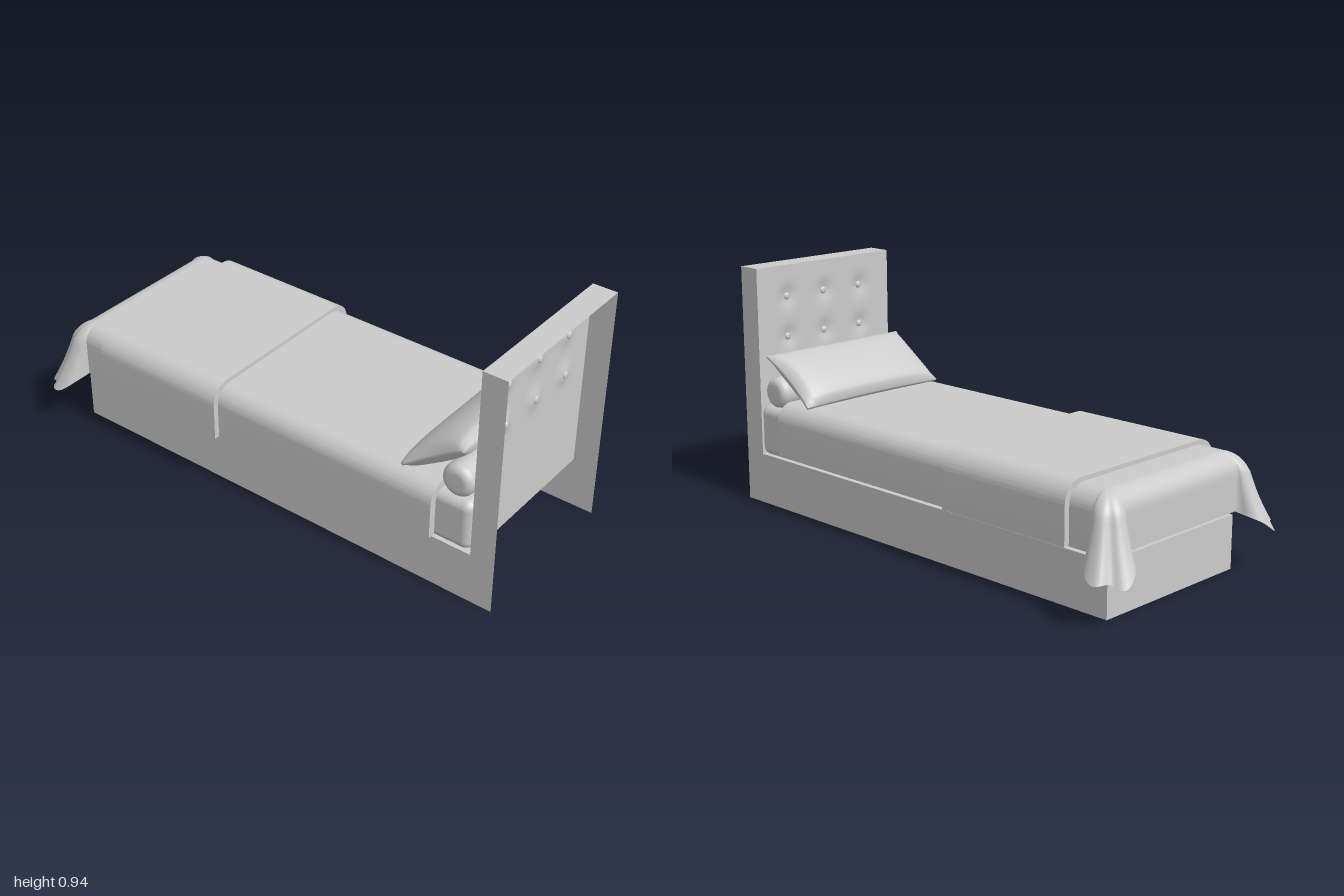
import * as THREE from 'three';
import { mergeVertices, toCreasedNormals } from 'three/addons/utils/BufferGeometryUtils.js';
import { RoundedBoxGeometry } from 'three/addons/geometries/RoundedBoxGeometry.js';

const material = new THREE.MeshStandardMaterial({ color: 0xcccccc, side: THREE.DoubleSide });

function add(parent, name, geometry, x = 0, y = 0, z = 0) {
  const mesh = new THREE.Mesh(geometry, material);
  mesh.name = name;
  mesh.position.set(x, y, z);
  parent.add(mesh);
  return mesh;
}

// Weld and smooth a geometry whose vertices were moved
function smooth(geometry) {
  geometry.deleteAttribute('normal');
  geometry.deleteAttribute('uv');
  const welded = mergeVertices(geometry, 1e-5);
  welded.computeVertexNormals();
  return welded;
}

// Cloth folded over the mattress: an arch section extruded along x
function drape(x0, x1, halfWidth, top, bottom, r, thick) {
  const s = new THREE.Shape();
  const w = halfWidth, v = w - thick, ri = r - thick;
  s.moveTo(-w, bottom);
  s.lineTo(-w, top - r);
  s.absarc(-w + r, top - r, r, Math.PI, Math.PI / 2, true);
  s.absarc(w - r, top - r, r, Math.PI / 2, 0, true);
  s.lineTo(w, bottom);
  s.lineTo(v, bottom);
  s.absarc(w - r, top - r, ri, 0, Math.PI / 2, false);
  s.absarc(-w + r, top - r, ri, Math.PI / 2, Math.PI, false);
  s.lineTo(-v, bottom);
  const g = new THREE.ExtrudeGeometry(s, { depth: x1 - x0, bevelEnabled: false, curveSegments: 10 });
  g.rotateY(Math.PI / 2).translate(x0, 0, 0);
  return toCreasedNormals(g, 0.6);
}

// Foot of the duvet: hangs over the end, with a flared fold at each corner
function duvetFoot(cx, cz, top, hem, r) {
  const fan = 28, rows = 18, rim = [];
  for (let i = 0; i <= fan; i++) rim.push([cz, Math.PI / 2 * (1 - i / fan), 1]);
  for (let i = 1; i < 6; i++) rim.push([cz * (1 - i / 3), 0, 1]);
  for (let i = 0; i <= fan; i++) rim.push([-cz, Math.PI / 2 * i / fan, -1]);
  const pos = [], index = [];
  rim.forEach(([z, a, side], i) => {
    const s = Math.max(0, Math.sin(2 * a));
    const notch = Math.exp(-(((a - Math.PI / 4) / 0.16) ** 2));
    const flare = 0.14 * s ** 0.6 - 0.035 * notch;
    const low = hem - 0.07 * s + 0.012 * s * Math.sin(a * 9);
    for (let j = 0; j <= rows; j++) {
      const arc = Math.min(1, j / 8) * Math.PI / 2;
      const fall = Math.max(0, (j - 8) / (rows - 8));
      const t = j / rows;
      const out = r * Math.sin(arc) + flare * t ** 1.6;
      const y = top - r * (1 - Math.cos(arc)) - (top - r - low) * fall;
      pos.push(cx - Math.cos(a) * out, y, z + side * Math.sin(a) * out);
      if (i && j) {
        const k = i * (rows + 1) + j, p = k - rows - 1;
        index.push(p - 1, p, k, p - 1, k, k - 1);
      }
    }
  });
  const g = new THREE.BufferGeometry();
  g.setAttribute('position', new THREE.Float32BufferAttribute(pos, 3));
  g.setIndex(index);
  g.computeVertexNormals();
  return g;
}

// Cushion with thin seams, full middle and pinched corners
function cushion(length, thick, width) {
  const g = new THREE.BoxGeometry(2, 2, 2, 20, 2, 36);
  const p = g.attributes.position;
  for (let i = 0; i < p.count; i++) {
    const s = p.getX(i), t = p.getZ(i);
    const puff = Math.max(0, (1 - s * s) * (1 - t ** 4)) ** 0.42;
    p.setXYZ(i,
      s * length / 2 * (1 - 0.05 * (1 - t * t)),
      p.getY(i) * thick / 2 * (0.1 + 0.9 * puff),
      t * width / 2 * (1 - 0.04 * (1 - s * s)));
  }
  return smooth(g);
}

// Padded panel facing -x, dented at each button
function tuftedPanel(width, height, midY, midZ, buttons) {
  const g = new THREE.PlaneGeometry(width, height, 48, 48);
  g.rotateY(-Math.PI / 2).translate(0, midY, midZ);
  const p = g.attributes.position;
  for (let i = 0; i < p.count; i++) {
    let dent = 0;
    for (const [y, z] of buttons) {
      const d2 = (p.getY(i) - y) ** 2 + (p.getZ(i) - z) ** 2;
      dent += 0.012 * Math.exp(-d2 / 0.0014);
    }
    p.setX(i, dent);
  }
  g.computeVertexNormals();
  return g;
}

export function createModel() {
  const bed = new THREE.Group();
  bed.name = 'bed';

  const foot = -0.87, panelX = 0.905, head = 1, baseTop = 0.2, height = 0.935;
  const zBack = -0.345, zFront = 0.325, midZ = -0.01, width = zFront - zBack;

  // Frame: thin shell, open underneath and behind the headboard
  const frame = new THREE.Group();
  frame.name = 'frame';
  bed.add(frame);
  const outline = new THREE.Shape([
    [foot, 0], [head, 0], [head, height], [panelX, height], [panelX, baseTop], [foot, baseTop],
  ].map(([x, y]) => new THREE.Vector2(x, y)));
  add(frame, 'frontSide', new THREE.ShapeGeometry(outline), 0, 0, zFront);
  add(frame, 'backSide', new THREE.ShapeGeometry(outline).rotateY(Math.PI).scale(-1, 1, 1), 0, 0, zBack);
  add(frame, 'footPanel', new THREE.PlaneGeometry(width, baseTop).rotateY(-Math.PI / 2), foot, baseTop / 2, midZ);
  add(frame, 'baseTop', new THREE.PlaneGeometry(panelX - foot, width).rotateX(-Math.PI / 2),
    (panelX + foot) / 2, baseTop, midZ);
  add(frame, 'headboardTop', new THREE.PlaneGeometry(head - panelX, width).rotateX(-Math.PI / 2),
    (panelX + head) / 2, height, midZ);

  // Headboard panel and its two rows of buttons
  const buttons = [];
  for (const y of [0.81, 0.65]) for (const k of [-1, 0, 1]) buttons.push([y, midZ + k * 0.185]);
  add(frame, 'headboardPanel',
    tuftedPanel(width, height - baseTop, (height + baseTop) / 2, midZ, buttons), panelX);
  for (const [y, z] of buttons) {
    add(frame, 'button', new THREE.SphereGeometry(0.014, 14, 10).scale(0.5, 1, 1), panelX + 0.01, y, z);
  }

  // Mattress
  add(bed, 'mattress', new RoundedBoxGeometry(1.76, 0.2, 0.685, 5, 0.035), 0.022, 0.302, -0.0125);

  // Bedding
  const clothZ = -0.005;
  add(bed, 'duvet', drape(-0.83, 0.765, 0.37, 0.43, 0.225, 0.07, 0.03), 0, 0, clothZ);
  add(bed, 'duvetFoot', duvetFoot(-0.83, 0.3, 0.43, 0.225, 0.07), 0, 0, clothZ);
  add(bed, 'throwBlanket', drape(-0.73, -0.165, 0.392, 0.446, 0.225, 0.08, 0.022), 0, 0, clothZ);

  // Bolster: round roll with softened ends
  const R = 0.062, H = 0.33, e = 0.03, profile = [new THREE.Vector2(0, -H)];
  for (const side of [-1, 1]) {
    for (let i = 0; i <= 6; i++) {
      const a = (side < 0 ? i : 6 - i) / 6 * Math.PI / 2;
      profile.push(new THREE.Vector2(R - e + e * Math.sin(a), side * (H - e + e * Math.cos(a))));
    }
  }
  profile.push(new THREE.Vector2(0, H));
  add(bed, 'bolster', new THREE.LatheGeometry(profile, 32).rotateX(Math.PI / 2), 0.825, 0.457, -0.013);

  // Pillow leaning on the bolster
  const pillow = add(bed, 'pillow', cushion(0.29, 0.11, 0.67), 0.732, 0.518, -0.015);
  pillow.rotation.z = 0.6;

  return bed;
}
